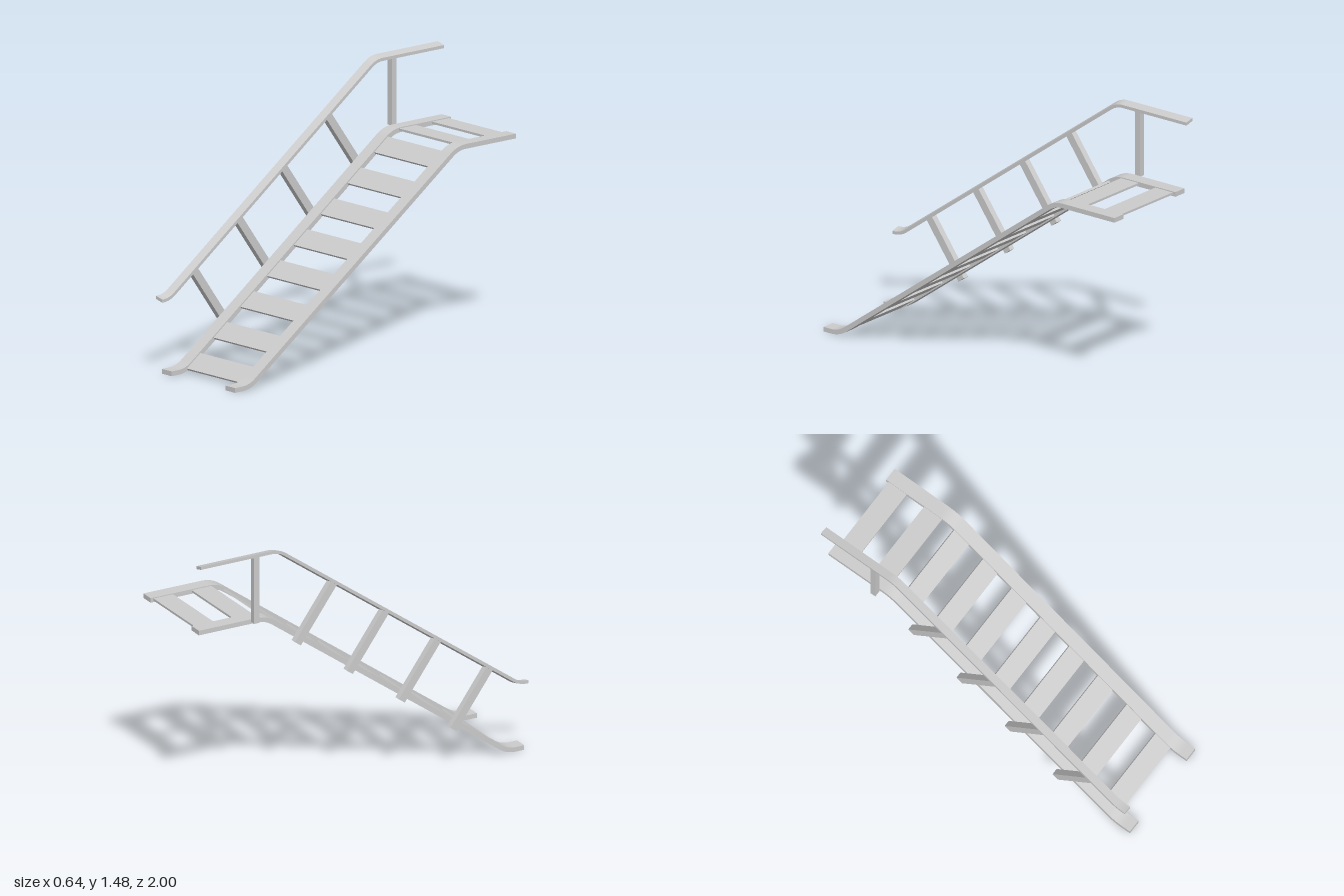
import * as THREE from 'three';
import { toCreasedNormals } from 'three/addons/utils/BufferGeometryUtils.js';

const SLOPE = 0.7256;
const ANGLE = Math.atan(SLOPE);
const treadLine = z => 0.055 + SLOPE * (0.84 - z);
const railLine = z => 0.765 + SLOPE * (0.447 - z);

const material = new THREE.MeshStandardMaterial({ color: 0xcccccc });

function addMesh(parent, name, geometry) {
  const mesh = new THREE.Mesh(geometry, material);
  mesh.name = name;
  parent.add(mesh);
  return mesh;
}

// Flat strip following four [z, y] corners with the two inner bends rounded.
function bentStrip(corners, bend, thickness, width) {
  const p = corners.map(([z, y]) => new THREE.Vector2(-z, y));
  const path = [p[0]];
  for (const i of [1, 2]) {
    const toward = q => p[i].clone().add(q.clone().sub(p[i]).setLength(bend));
    path.push(...new THREE.QuadraticBezierCurve(toward(p[i - 1]), p[i], toward(p[i + 1])).getPoints(8));
  }
  path.push(p[3]);

  const offset = side => path.map((c, i) => {
    const a = path[Math.max(i - 1, 0)], b = path[Math.min(i + 1, path.length - 1)];
    const t = b.clone().sub(a).normalize();
    return new THREE.Vector2(c.x - t.y * side * thickness / 2, c.y + t.x * side * thickness / 2);
  });
  const shape = new THREE.Shape([...offset(-1), ...offset(1).reverse()]);
  const geometry = new THREE.ExtrudeGeometry(shape, { depth: width, bevelEnabled: false });
  return geometry.translate(0, 0, -width / 2).rotateY(Math.PI / 2);
}

// Move every vertex by a rule, then rebuild normals with sharp edges.
function reshape(geometry, rule) {
  const pos = geometry.attributes.position;
  const v = new THREE.Vector3();
  for (let i = 0; i < pos.count; i++) {
    rule(v.fromBufferAttribute(pos, i));
    pos.setXYZ(i, v.x, v.y, v.z);
  }
  return toCreasedNormals(geometry, 0.4);
}

export function createModel() {
  const model = new THREE.Group();
  model.name = 'gangwayStairs';

  // Side stringers; the left one drifts outward slightly toward the top
  const stringerPath = [[1, 0.0135], [0.897, 0.0135], [-0.577, 1.083], [-0.985, 1.083]];
  const stringer = () => bentStrip(stringerPath, 0.055, 0.026, 0.077);
  addMesh(model, 'rightStringer', reshape(stringer(), v => { v.x -= 0.235; }));
  addMesh(model, 'leftStringer', reshape(stringer(), v => { v.x += 0.275 - 0.005 * v.z; }));

  // Sloped treads
  const treadWidth = 0.47;
  for (let i = 0; i < 8; i++) {
    const z = 0.84 - i * 0.19;
    const tread = addMesh(model, 'tread', new THREE.BoxGeometry(treadWidth, 0.012, 0.119));
    tread.position.set(0.02, treadLine(z), z);
    tread.rotation.x = ANGLE;
  }

  // Level slats of the upper landing
  for (const z of [-0.675, -0.908]) {
    const slat = addMesh(model, 'landingSlat', new THREE.BoxGeometry(treadWidth, 0.012, 0.119));
    slat.position.set(0.02, 1.085, z);
  }

  // Handrail, tilted down toward the stairs
  const railPath = [[1, 0.402], [0.947, 0.402], [-0.522, 1.468], [-1, 1.468]];
  const rail = bentStrip(railPath, 0.045, 0.017, 0.049);
  addMesh(model, 'handrail', reshape(rail, v => {
    v.y -= v.x * 0.26;
    v.x -= 0.296;
  }));

  // Slanted posts square to the slope, reaching just past the stringer
  for (const z of [0.765, 0.449, 0.132, -0.185]) {
    const length = 0.378;
    const post = addMesh(model, 'slantedPost', new THREE.BoxGeometry(0.036, length, 0.045));
    post.position.set(-0.301, railLine(z) - Math.cos(ANGLE) * length / 2, z - Math.sin(ANGLE) * length / 2);
    post.rotation.x = ANGLE;
  }

  // Upright post at the landing
  const upright = addMesh(model, 'uprightPost', new THREE.BoxGeometry(0.036, 0.378, 0.032));
  upright.position.set(-0.301, 1.276, -0.658);

  return model;
}
